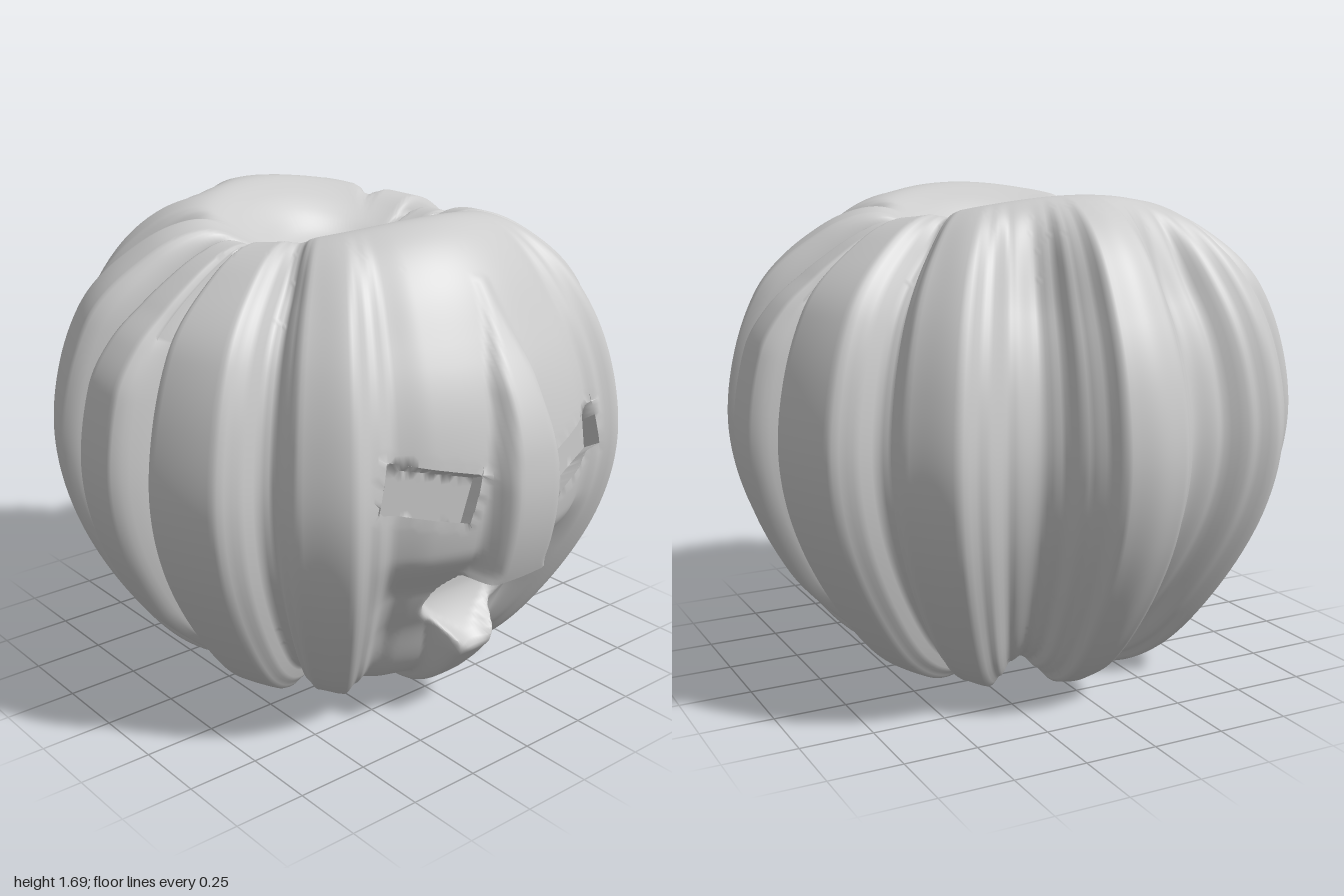
import * as THREE from 'three';
import { toCreasedNormals } from 'three/addons/utils/BufferGeometryUtils.js';

const { smoothstep, lerp, clamp } = THREE.MathUtils;

// Rib crest section (radius, height), from the underside round to the crater
const PROFILE = [
  [0, 0.05], [0.2, 0.03], [0.42, 0.025], [0.6, 0.12], [0.8, 0.36], [0.95, 0.65], [1, 0.9], [0.97, 1.15],
  [0.89, 1.36], [0.76, 1.54], [0.6, 1.65], [0.46, 1.68], [0.35, 1.64], [0.27, 1.59], [0.19, 1.52], [0.1, 1.49], [0, 1.48],
];
// Radius ratio by angle (degrees from the side rib towards front or back)
const SIDE = [[0, 1], [5, 1], [7, 0.95], [8.7, 0.81], [12, 0.82], [13.2, 0.95], [16, 1], [29, 1],
  [32.5, 0.95], [35, 0.87], [38, 0.86], [40.5, 0.94], [44, 0.98], [54, 1]];
const FRONT = [...SIDE, [58, 0.95], [62, 0.915], [70, 0.925], [90, 0.93]];
const BACK = [...SIDE, [58, 0.94], [63, 0.85], [70, 0.81], [74, 0.83], [78, 0.9], [81, 0.93], [84, 0.99], [90, 1]];
// Nose half width by height
const NOSE = [[0.6, 0.17], [0.66, 0.14], [0.95, 0.13], [1.25, 0.085], [1.55, 0.01]];

// Eased lookup in a list of [key, value]
function lookup(table, k) {
  if (k <= table[0][0]) return table[0][1];
  for (let i = 1; i < table.length; i++) {
    const [a, va] = table[i - 1], [b, vb] = table[i];
    if (k <= b) return lerp(va, vb, smoothstep(k, a, b));
  }
  return table[table.length - 1][1];
}

// Jowls, chin and nose, as changes to the radius ratio
function faceRatio(f, q, x, y) {
  const jowl = smoothstep(y, 0.06, 0.35) * (1 - smoothstep(y, 0.5, 0.74));
  f -= 0.075 * jowl * smoothstep(q, 56, 66);
  const chin = 1 - smoothstep(y, 0.27, 0.43);
  const w = 0.02 + 0.36 * y;
  f = lerp(f, 1, chin * (1 - smoothstep(x, w * 0.55, w + 0.03)));
  if (y > 0.61 && y < 1.56) {
    const half = lookup(NOSE, y);
    const relief = 1 - 0.85 * smoothstep(y, 1.05, 1.55);
    f = lerp(f, 1, relief * (1 - smoothstep(x, half * 0.65, half + 0.03)));
  }
  return f;
}

// Ribbed body: pulls the grooves in and lifts the front and back of the rim
function bodyPoint(angle, r, y, top) {
  const s = Math.sin(angle);
  const q = THREE.MathUtils.radToDeg(Math.asin(Math.min(1, Math.abs(s))));
  let f = lookup(s > 0 ? FRONT : BACK, q);
  // side ribs sink towards both ends
  f -= 0.06 * (1 - smoothstep(q, 5, 9)) * (smoothstep(y, 1.2, 1.5) + 1 - smoothstep(y, 0.1, 0.4));
  if (s > 0 && q > 55) f = faceRatio(f, q, Math.abs(r * Math.cos(angle)), y);
  const start = lerp(0.24, 0.46, smoothstep(q, 20, 60));
  const fade = top ? smoothstep(r, start, start + 0.4) : smoothstep(r, 0.05, 0.5);
  const k = (1 - f) * fade;
  const R = r * (1 - k);
  let Y = 0.85 + (y - 0.85) * (1 - 0.6 * k);
  Y += (0.085 * s * s - 0.06) * smoothstep(y, 1.35, 1.62) * smoothstep(r, 0.05, 0.35);
  return new THREE.Vector3(R * Math.cos(angle), Y, R * s);
}

// Scooped mouth under the nose, narrowing to a spout
function carveMouth(p) {
  if (p.z < 0.3 || p.y > 0.612) return;
  const width = lerp(0.1, 0.21, smoothstep(p.y, 0.27, 0.48));
  const d = Math.hypot(p.x / width, (p.y - 0.47) / 0.2);
  if (d > 1) return;
  const floor = 0.63 + 0.11 * Math.pow(clamp((0.47 - p.y) / 0.19, 0, 1), 1.6);
  p.z = lerp(p.z, Math.min(p.z, floor), 1 - smoothstep(d, 0.7, 1));
}

// Slanted rectangular eye pocket; nearby vertices snap to its rim
function carveEye(p) {
  if (p.z < 0.5) return;
  const side = Math.sign(p.x), c = Math.cos(0.25), s = Math.sin(0.25);
  const dx = Math.abs(p.x) - 0.33, dy = p.y - 0.96;
  let a = dx * c + dy * s, b = -dx * s + dy * c;
  const W = 0.15, H = 0.08, snap = 0.023;
  const da = Math.abs(a) - W, db = Math.abs(b) - H;
  const d = Math.max(da, db);
  if (d > snap) return;
  const inside = d < 0;
  if (inside) {
    if (da > -snap) a = Math.sign(a) * W;
    if (db > -snap) b = Math.sign(b) * H;
  } else {
    a = clamp(a, -W, W);
    b = clamp(b, -H, H);
  }
  let x = 0.33 + a * c - b * s;
  p.y = 0.96 + a * s + b * c;
  if (inside) {
    x -= 0.015;
    p.y -= 0.03;
    p.z = 0.8 - 0.3 * (x - 0.33);
  }
  p.x = side * x;
}

function pumpkinGeometry() {
  const N = 400, M = 180;
  const curve = new THREE.CatmullRomCurve3(
    PROFILE.map(([r, y]) => new THREE.Vector3(r, y, 0)), false, 'centripetal');
  const section = curve.getSpacedPoints(M);
  const pos = [], index = [];
  section.forEach((q, j) => {
    for (let i = 0; i < N; i++) {
      const p = bodyPoint((i / N) * Math.PI * 2, Math.max(0, q.x), q.y, j > M / 2);
      carveMouth(p);
      carveEye(p);
      pos.push(p.x, p.y, p.z);
    }
  });
  for (let j = 0; j < M; j++) {
    for (let i = 0; i < N; i++) {
      const a = j * N + i, b = j * N + (i + 1) % N;
      if (j < M - 1) index.push(a, a + N, b + N);
      if (j > 0) index.push(a, b + N, b);
    }
  }
  const g = new THREE.BufferGeometry();
  g.setAttribute('position', new THREE.Float32BufferAttribute(pos, 3));
  g.setIndex(index);
  return toCreasedNormals(g, 1.1);
}

export function createModel() {
  const group = new THREE.Group();
  group.name = 'carvedPumpkin';
  const material = new THREE.MeshStandardMaterial({ color: 0xcccccc, roughness: 0.8 });
  const body = new THREE.Mesh(pumpkinGeometry(), material);
  body.name = 'pumpkinBody';
  group.add(body);
  return group;
}
